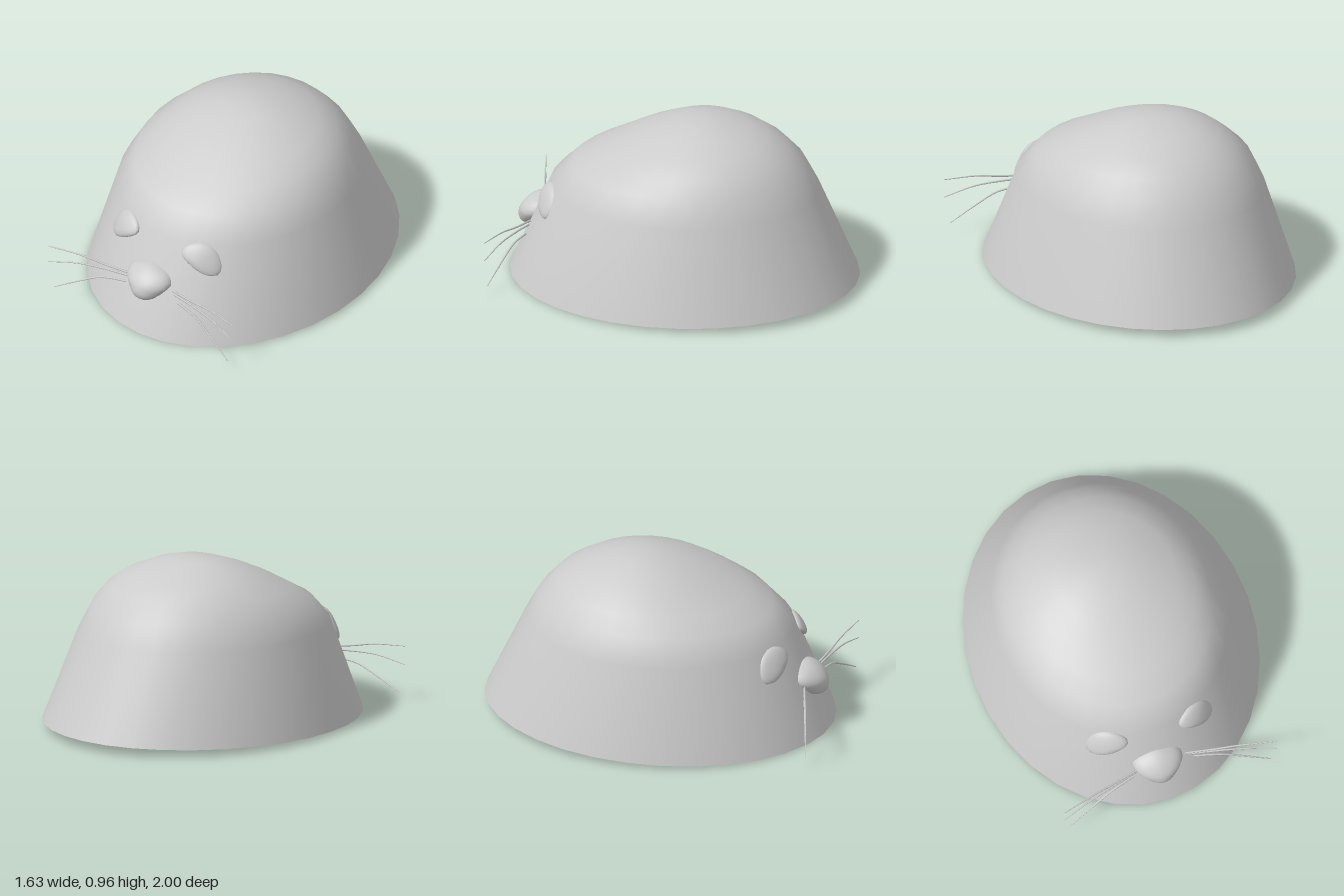
import * as THREE from 'three';

const material = new THREE.MeshStandardMaterial({ color: 0xcccccc, side: THREE.DoubleSide });

// Smooth skin over closed loops of points, finished with a single tip point
function loft(loops, tip) {
  const n = loops[0].length, index = [];
  const points = [...loops.flat(), tip];
  loops.forEach((loop, k) => {
    for (let i = 0; i < n; i++) {
      const a = k * n + i, b = k * n + (i + 1) % n;
      if (k === loops.length - 1) index.push(a, b, points.length - 1);
      else index.push(a, b, b + n, a, b + n, a + n);
    }
  });
  const geometry = new THREE.BufferGeometry().setFromPoints(points);
  geometry.setIndex(index);
  geometry.computeVertexNormals();
  return geometry;
}

function addMesh(group, name, geometry) {
  const mesh = new THREE.Mesh(geometry, material);
  mesh.name = name;
  group.add(mesh);
}

// Body rings: centre x, half width, front z, front y, back z, back y, side y
const bodyRings = [
  [0, 0.813, 1, 0, -1, 0.05, 0.02],
  [-0.013, 0.658, 0.767, 0.55, -0.763, 0.558, 0.555],
  [-0.017, 0.58, 0.645, 0.67, -0.69, 0.69, 0.7],
  [-0.01, 0.495, 0.5, 0.75, -0.59, 0.8, 0.785],
  [-0.015, 0.4, 0.36, 0.825, -0.475, 0.87, 0.855],
  [-0.03, 0.26, 0.21, 0.89, -0.36, 0.917, 0.92],
  [-0.03, 0.14, 0.06, 0.942, -0.23, 0.95, 0.952],
];

function bodyLoop([cx, rx, zf, yf, zb, yb, ys]) {
  return Array.from({ length: 32 }, (_, i) => {
    const t = i / 32 * Math.PI * 2, c = Math.cos(t);
    return new THREE.Vector3(
      cx + rx * Math.sin(t),
      ys + (yf - yb) / 2 * c + ((yf + yb) / 2 - ys) * c * c,
      (zf + zb) / 2 + (zf - zb) / 2 * c);
  });
}

// Depth of the front wall of the body at a given x and y
function wallZ(x, y) {
  const rz = 1 - 0.424 * y, rx = 0.813 - 0.28 * y;
  return rz * Math.sqrt(1 - ((x + 0.015) / rx) ** 2);
}

// Open-backed bulge on the front wall, from an anticlockwise outline
function bulge(outline, height, sink) {
  const curve = new THREE.CatmullRomCurve3(
    outline.map(([x, y]) => new THREE.Vector3(x, y, 0)), true);
  const edge = curve.getSpacedPoints(28).slice(0, 28);
  const centre = new THREE.Box3().setFromPoints(edge).getCenter(new THREE.Vector3());
  const ring = (s, offset) => edge.map(p => {
    const q = centre.clone().lerp(p, s);
    q.z = wallZ(q.x, q.y) + offset;
    return q;
  });
  const loops = [ring(1, -sink), ring(1, 0)];
  for (const s of [0.97, 0.9, 0.78, 0.6, 0.4, 0.2]) {
    loops.push(ring(s, height * Math.sqrt(1 - s * s)));
  }
  centre.z = wallZ(centre.x, centre.y) + height;
  return loft(loops, centre);
}

// Thin tube that narrows towards its tip
function whisker(points) {
  const curve = new THREE.CatmullRomCurve3(points);
  const rows = 12, sides = 6;
  const geometry = new THREE.TubeGeometry(curve, rows, 0.0065, sides);
  const position = geometry.attributes.position, p = new THREE.Vector3();
  for (let i = 0; i < position.count; i++) {
    const t = Math.floor(i / (sides + 1)) / rows;
    p.fromBufferAttribute(position, i).lerp(curve.getPointAt(t), 0.6 * t * t);
    position.setXYZ(i, p.x, p.y, p.z);
  }
  return geometry;
}

export function createModel() {
  const model = new THREE.Group();
  model.name = 'mouse';

  // Hollow domed body, open underneath
  addMesh(model, 'body', loft(bodyRings.map(bodyLoop), new THREE.Vector3(-0.03, 0.965, -0.1)));

  // Slanted teardrop eyes, mirrored about the face centre
  const eye = [
    [0.128, 0.51], [0.132, 0.488], [0.2, 0.435], [0.255, 0.405], [0.305, 0.388], [0.345, 0.395],
    [0.348, 0.435], [0.322, 0.495], [0.28, 0.54], [0.22, 0.56], [0.16, 0.545],
  ];
  addMesh(model, 'leftEye', bulge(eye, 0.04, 0.05));
  addMesh(model, 'rightEye', bulge(eye.map(([x, y]) => [-0.048 - x, y]).reverse(), 0.04, 0.05));

  // Rounded nose with a broad top
  const nose = [
    [-0.03, 0.195], [0.03, 0.21], [0.08, 0.255], [0.114, 0.305], [0.095, 0.345], [0.04, 0.375],
    [-0.03, 0.39], [-0.1, 0.375], [-0.16, 0.345], [-0.177, 0.305], [-0.14, 0.255], [-0.09, 0.21],
  ];
  addMesh(model, 'nose', bulge(nose, 0.095, 0.05));

  // Three whiskers on each side
  const whiskers = [
    [[0.1, 0.272], [0.3, 0.298], [0.44, 0.325], [0.635, 0.336]],
    [[0.1, 0.255], [0.3, 0.268], [0.46, 0.265], [0.635, 0.227]],
    [[0.155, 0.217], [0.325, 0.205], [0.45, 0.145], [0.6, 0.06]],
  ];
  for (const side of [1, -1]) {
    const group = new THREE.Group();
    group.name = side > 0 ? 'leftWhiskers' : 'rightWhiskers';
    for (const path of whiskers) {
      addMesh(group, 'whisker', whisker(path.map(([x, y]) =>
        new THREE.Vector3(side * x, y, 0.83 + 0.258 * x))));
    }
    model.add(group);
  }
  return model;
}
